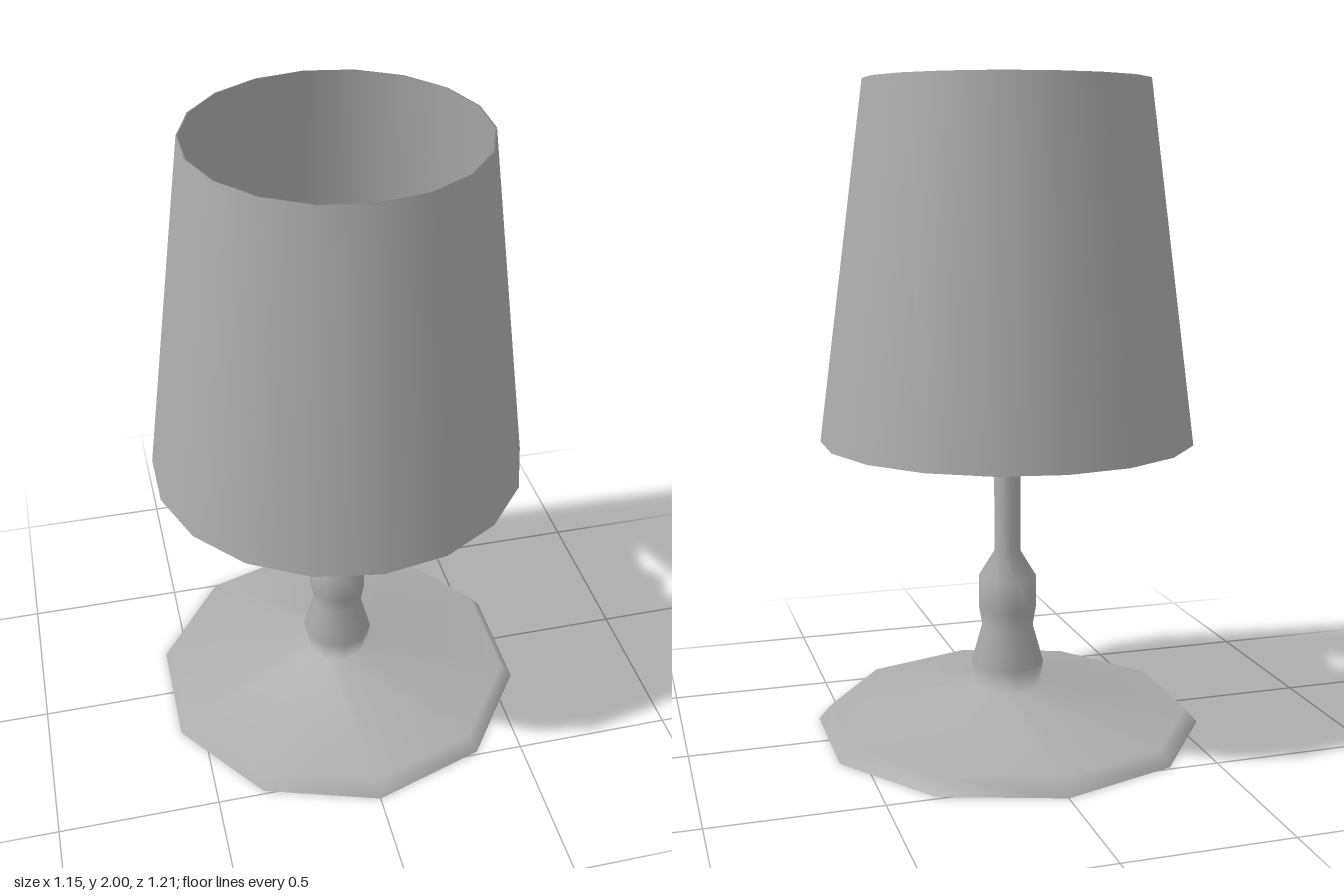
import * as THREE from 'three';

const grey = new THREE.MeshStandardMaterial({ color: 0xadadad });
const SIDES = 10;

// Smooth turned part from [radius, height] pairs, listed bottom to top
function turned(name, profile, sides = SIDES) {
  const points = profile.map(([r, y]) => new THREE.Vector2(r, y));
  const mesh = new THREE.Mesh(new THREE.LatheGeometry(points, sides), grey);
  mesh.name = name;
  return mesh;
}

// Underside of the foot: a fan from one corner, its normals rounded over the rim
function underside(radius) {
  const positions = [], normals = [], index = [];
  for (let i = 0; i < SIDES; i++) {
    const a = (i + 4) * Math.PI * 2 / SIDES;
    positions.push(radius * Math.sin(a), 0, radius * Math.cos(a));
    normals.push(0.9 * Math.sin(a), -0.43, 0.9 * Math.cos(a));
    if (i > 1) index.push(0, i, i - 1);
  }
  const geometry = new THREE.BufferGeometry();
  geometry.setAttribute('position', new THREE.Float32BufferAttribute(positions, 3));
  geometry.setAttribute('normal', new THREE.Float32BufferAttribute(normals, 3));
  geometry.setIndex(index);
  const mesh = new THREE.Mesh(geometry, grey);
  mesh.name = 'baseUnderside';
  return mesh;
}

export function createModel() {
  const lamp = new THREE.Group();
  lamp.name = 'tableLamp';

  // Foot with a bevelled rim, flowing into the baluster stem and thin pole
  lamp.add(turned('baseAndStem', [
    [0.6, 0], [0.603, 0], [0.565, 0.045], [0.1, 0.125],
    [0.113, 0.2], [0.08, 0.32], [0.09, 0.38],
    [0.09, 0.48], [0.041, 0.56], [0.041, 1.15],
  ]));
  lamp.add(underside(0.6));

  // Bulb holder at the top of the pole
  lamp.add(turned('socket', [[0, 1.12], [0.054, 1.12], [0.054, 1.25], [0, 1.25]]));

  // Pear-shaped bulb
  lamp.add(turned('bulb', [
    [0.04, 1.24], [0.05, 1.28], [0.08, 1.34], [0.097, 1.4],
    [0.085, 1.45], [0.05, 1.485], [0, 1.5],
  ]));

  // Four wires carrying the shade
  const wireY = 1.2, wireLength = 0.52;
  for (let i = 0; i < 4; i++) {
    const arm = new THREE.Group();
    arm.name = 'shadeWire' + (i + 1);
    const wire = new THREE.Mesh(new THREE.CylinderGeometry(0.003, 0.003, wireLength, 6), grey);
    wire.rotation.z = Math.PI / 2;
    wire.position.set(wireLength / 2, wireY, 0);
    arm.add(wire);
    arm.rotation.y = i * Math.PI / 2;
    lamp.add(arm);
  }

  // Tapered shade: a thin closed shell with softened rims, starting halfway up the inner wall
  const t = 0.004;
  lamp.add(turned('shade', [
    [0.5015 - t, 1.46], [0.573 - t, 0.92], [0.573, 0.92],
    [0.43, 2], [0.43 - t, 2], [0.5015 - t, 1.46],
  ], 18));

  return lamp;
}
